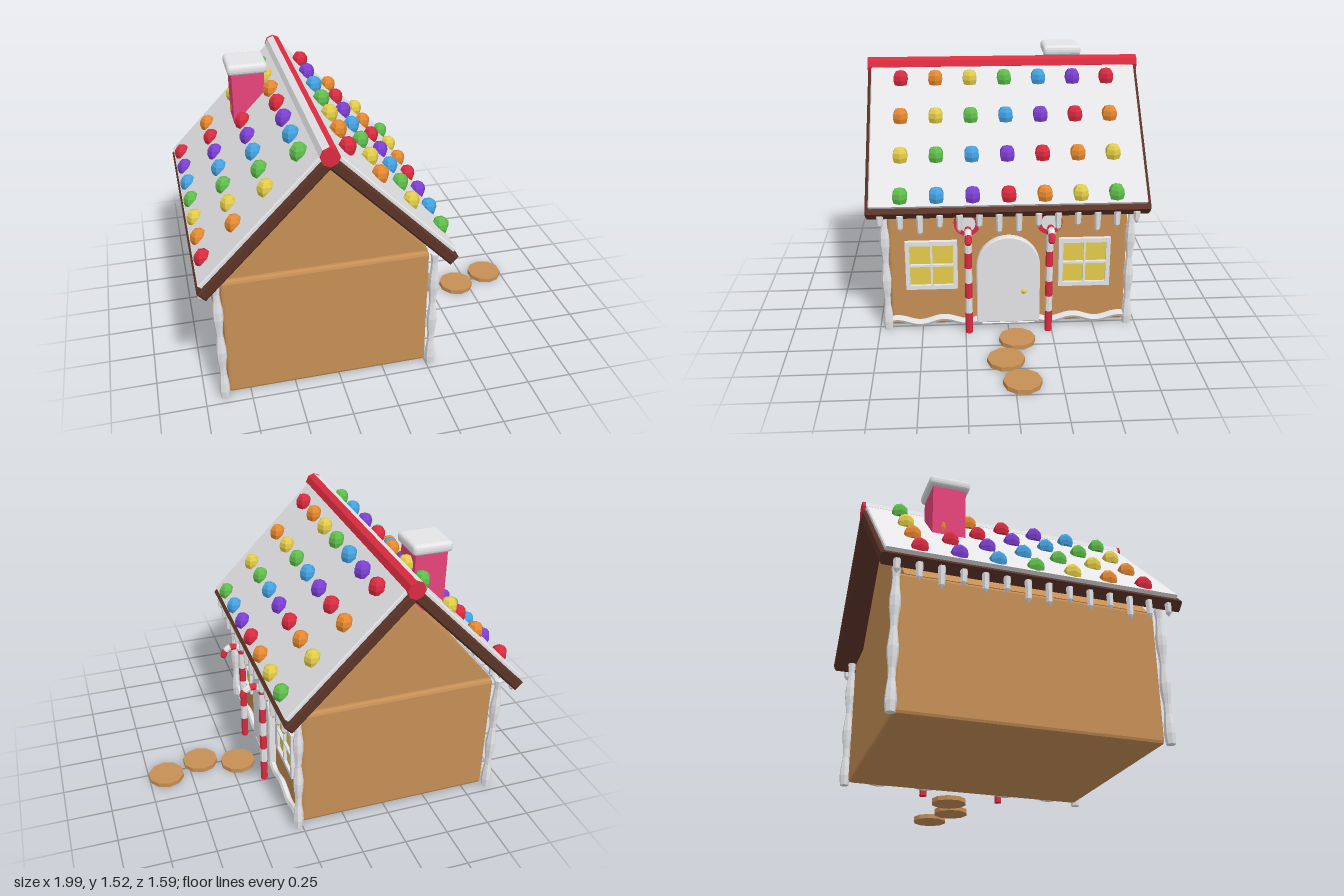
import * as THREE from 'three';
import { RoundedBoxGeometry } from 'three/addons/geometries/RoundedBoxGeometry.js';

const mat = (name, color) => {
  const m = new THREE.MeshStandardMaterial({ color, flatShading: true });
  m.name = name;
  return m;
};

export function createModel() {
  const M = {
    ginger: mat('gingerbread', 0xc68f55), icing: mat('icing', 0xf3f3f6), choc: mat('chocolate', 0x5a3327),
    red: mat('candy red', 0xdb2b40), pink: mat('chimney pink', 0xe8447c), orange: mat('candy orange', 0xe88a30),
    yellow: mat('candy yellow', 0xe4cd4a), green: mat('candy green', 0x60bf4c),
    blue: mat('candy blue', 0x45a3e2), purple: mat('candy purple', 0x7d40d4),
  };
  const root = new THREE.Group();
  root.name = 'gingerbreadHouse';
  const add = (name, geo, material, x = 0, y = 0, z = 0, parent = root) => {
    const m = new THREE.Mesh(geo, material);
    m.name = name;
    m.position.set(x, y, z);
    parent.add(m);
    return m;
  };
  const shape = (pts) => new THREE.Shape(pts.map(([x, y]) => new THREE.Vector2(x, y)));
  // extrusion along z, centred, total depth including bevel
  const extrude = (s, depth, bevel = 0) => {
    const g = new THREE.ExtrudeGeometry(s, {
      depth: depth - 2 * bevel, bevelEnabled: bevel > 0, bevelThickness: bevel, bevelSize: bevel,
      bevelOffset: -bevel, bevelSegments: 1, curveSegments: 10,
    });
    return g.translate(0, 0, bevel - depth / 2);
  };
  const CX = -0.31, WALL = 0.25;

  // walls and gable
  add('walls', new RoundedBoxGeometry(1.12, 0.73, 1.37, 1, 0.018), M.ginger, CX, 0.375, 0);
  add('gable', extrude(shape([[-0.56, 0.735], [0.56, 0.735], [0, 1.34]]), 1.31), M.ginger, CX);

  // roof: two chevron slabs, chocolate below and icing above
  const T = 1.02;
  const chevron = (low, high, dLow, dHigh) => shape([
    [0, low], [dLow, low - T * dLow], [dHigh, high - T * dHigh], [0, high],
    [-dHigh, high - T * dHigh], [-dLow, low - T * dLow]]);
  add('roofSlab', extrude(chevron(1.37, 1.457, 0.64, 0.682), 1.59, 0.01), M.choc, CX);
  add('roofIcing', extrude(chevron(1.44, 1.487, 0.65, 0.673), 1.55, 0.006), M.icing, CX);

  // ridge bar: red on one side, icing on the other, red ends
  const bar = (len, start, sweep, seg, open) =>
    new THREE.CylinderGeometry(0.05, 0.05, len, seg, 1, open, start, sweep).rotateX(Math.PI / 2);
  add('ridgeRed', bar(1.56, 0, Math.PI, 4, true), M.red, CX, 1.438);
  add('ridgeIcing', bar(1.56, Math.PI, Math.PI, 4, true), M.icing, CX, 1.438);
  for (const s of [-1, 1]) add('ridgeEnd', bar(0.016, 0, Math.PI * 2, 8, false), M.red, CX, 1.438, s * 0.788);

  // gumdrops on both slopes
  const dropGeo = new THREE.LatheGeometry(
    [[0, -0.04], [0.039, -0.04], [0.047, -0.012], [0.044, 0.016], [0.03, 0.037], [0, 0.046]]
      .map(([x, y]) => new THREE.Vector2(x, y)), 6).rotateY(Math.PI / 2);
  const cycle = [M.red, M.orange, M.yellow, M.green, M.blue, M.purple];
  const drops = new THREE.Group();
  drops.name = 'gumdrops';
  root.add(drops);
  for (let r = 0; r < 4; r++) for (let c = 0; c < 7; c++) {
    const y = 1.392 - 0.179 * r, dx = 0.13 + 0.17 * r, z = 0.6 - 0.2 * c;
    add('gumdrop', dropGeo, cycle[(r + c) % 6], CX + dx, y, z, drops);
    add('gumdrop', dropGeo, cycle[(3 - r + c) % 6], CX - dx + 0.015, y, z, drops);
  }

  // chimney
  add('chimney', new THREE.BoxGeometry(0.185, 0.36, 0.185), M.pink, -0.542, 1.3, -0.37);
  add('chimneyIcing', new RoundedBoxGeometry(0.23, 0.062, 0.23, 2, 0.024), M.icing, -0.543, 1.487, -0.37);

  // wavy icing on the wall corners
  const column = [new THREE.Vector2(0, 0)];
  for (let i = 0; i <= 14; i++)
    column.push(new THREE.Vector2(0.024 + 0.006 * Math.sin(i * 1.35), 0.002 + i * 0.053));
  column.push(new THREE.Vector2(0, 0.746));
  const columnGeo = new THREE.LatheGeometry(column, 7);
  for (const x of [-0.893, 0.272]) for (const z of [-0.7, 0.7]) add('cornerIcing', columnGeo, M.icing, x, 0, z);

  // icicles under both eaves
  const icicle = (len) => new THREE.LatheGeometry(
    [[0, -len], [0.016, -len + 0.022], [0.02, 0], [0, 0]].map(([x, y]) => new THREE.Vector2(x, y)), 6);
  const lengths = [0.075, 0.1, 0.125, 0.09, 0.11, 0.09, 0.125];
  for (const s of [-1, 1]) for (let i = 0; i < 14; i++)
    add('icicle', icicle(lengths[i < 7 ? i : 13 - i]), M.icing, CX + s * 0.66, 0.745, 0.715 - 0.11 * i);

  // everything below sits on the door wall, drawn flat and turned to face +x
  const onWall = (name, s, depth, material, x, bevel = 0) =>
    add(name, extrude(s, depth, bevel).rotateY(Math.PI / 2), material, x);
  const arch = (w, bottom, spring) => {
    const s = new THREE.Shape();
    s.moveTo(-w, bottom);
    s.lineTo(w, bottom);
    s.lineTo(w, spring);
    s.absarc(0, spring, w, 0, Math.PI, false);
    s.lineTo(-w, bottom);
    return s;
  };
  const frame = arch(0.183, 0.03, 0.39);
  frame.holes.push(arch(0.148, 0.031, 0.39));
  onWall('doorFrame', frame, 0.05, M.icing, 0.265, 0.006);
  onWall('door', arch(0.152, 0.03, 0.39), 0.03, M.choc, 0.256);
  add('doorKnob', new THREE.SphereGeometry(0.018, 8, 6), M.yellow, 0.285, 0.23, -0.09);

  const rect = (u, v, w, h) => [[u - w, v - h], [u + w, v - h], [u + w, v + h], [u - w, v + h]];
  for (const s of [-1, 1]) {
    const u = s * 0.44, v = 0.4;
    const f = shape(rect(u, v, 0.149, 0.149));
    for (const a of [-1, 1]) for (const b of [-1, 1])
      f.holes.push(new THREE.Path(shape(rect(u + a * 0.065, v + b * 0.065, 0.059, 0.059)).getPoints()));
    onWall('windowFrame', f, 0.035, M.icing, 0.26);
    onWall('windowPane', shape(rect(u, v, 0.14, 0.14)), 0.008, M.yellow, 0.256);

    // peppermint above each cane
    const disc = (r, d) => new THREE.CylinderGeometry(r, r, d, 16).rotateZ(Math.PI / 2);
    add('peppermint', disc(0.075, 0.035), M.red, 0.268, 0.66, s * 0.233);
    add('peppermintCentre', disc(0.047, 0.008), M.icing, 0.287, 0.66, s * 0.233);

    // wavy icing along the wall foot, stopping at the door
    const pts = [];
    for (let z = 0.15; z < 0.7; z += 0.03)
      pts.push(new THREE.Vector3(0.268, 0.047 + 0.015 * Math.cos((z - 0.65) * 23), s * z));
    add('footIcing', new THREE.TubeGeometry(new THREE.CatmullRomCurve3(pts), 36, 0.02, 6), M.icing);

    // striped cane: straight post then a crook leaning out
    const cane = new THREE.Group();
    cane.name = 'candyCane';
    cane.position.set(0.338, 0, s * 0.23);
    root.add(cane);
    const cuts = [0, 0.13, 0.225, 0.32, 0.413, 0.507, 0.61];
    for (let i = 0; i < 6; i++) {
      const h = cuts[i + 1] - cuts[i];
      add('caneStripe', new THREE.CylinderGeometry(0.021, 0.021, h, 8), i % 2 ? M.icing : M.red,
        0, cuts[i] + h / 2, 0, cane);
    }
    for (let i = 0; i < 5; i++) {
      const p = [0, 1, 2].map((k) => {
        const a = Math.PI * (1 - (i + k / 2) / 5.2);
        return new THREE.Vector3(0.056 + 0.056 * Math.cos(a), 0.61 + 0.056 * Math.sin(a), 0);
      });
      add('crookStripe', new THREE.TubeGeometry(new THREE.CatmullRomCurve3(p), 3, 0.02, 8),
        i % 2 ? M.icing : M.red, 0, 0, 0, cane);
      if (i === 4) add('crookTip', new THREE.SphereGeometry(0.02, 8, 4), M.red, p[2].x, p[2].y, 0, cane);
    }
  }

  // cookie stepping stones
  for (const [x, z] of [[0.455, -0.04], [0.675, 0.035], [0.897, -0.04]])
    add('steppingStone', new THREE.CylinderGeometry(0.104, 0.104, 0.026, 10), M.ginger, x, 0.013, z);

  return root;
}
